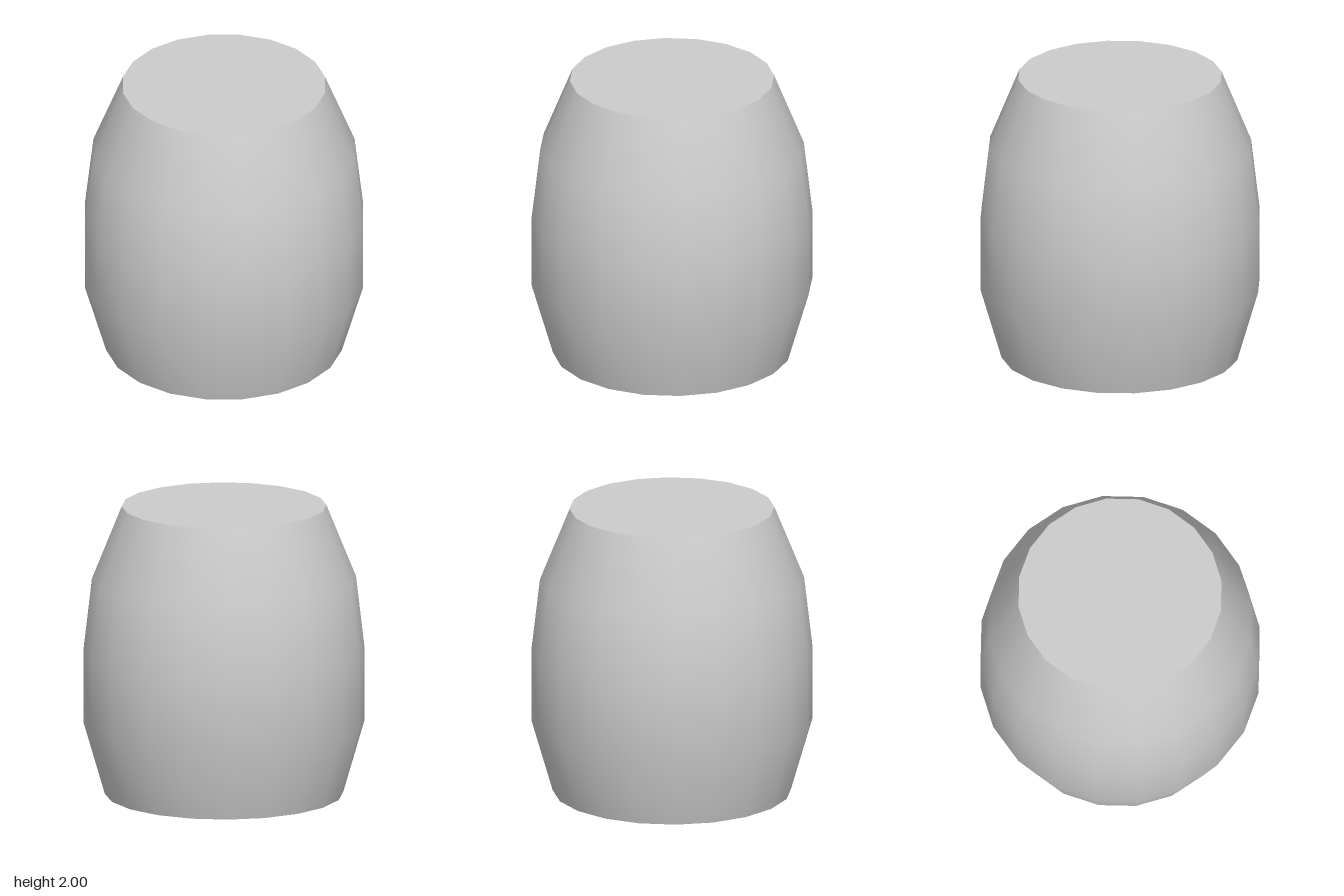
import * as THREE from 'three';

const SIDES = 20;

export function createModel() {
  const group = new THREE.Group();
  group.name = 'barrel';
  const material = new THREE.MeshStandardMaterial({ color: 0xcccccc });

  // Bulging wall: radius and height of each ring, bottom to top
  const profile = [[0.81, 0], [0.955, 0.5], [0.955, 1], [0.897, 1.5], [0.695, 2]]
    .map(([r, y]) => new THREE.Vector2(r, y));
  const wall = new THREE.Mesh(new THREE.LatheGeometry(profile, SIDES), material);
  wall.name = 'wall';
  group.add(wall);

  // Flat end caps with a sharp rim
  const addCap = (name, { x: radius, y }, tilt) => {
    const cap = new THREE.Mesh(new THREE.CircleGeometry(radius, SIDES).rotateX(tilt), material);
    cap.name = name;
    cap.position.y = y;
    group.add(cap);
  };
  addCap('bottomCap', profile[0], Math.PI / 2);
  addCap('topCap', profile[profile.length - 1], -Math.PI / 2);

  return group;
}
